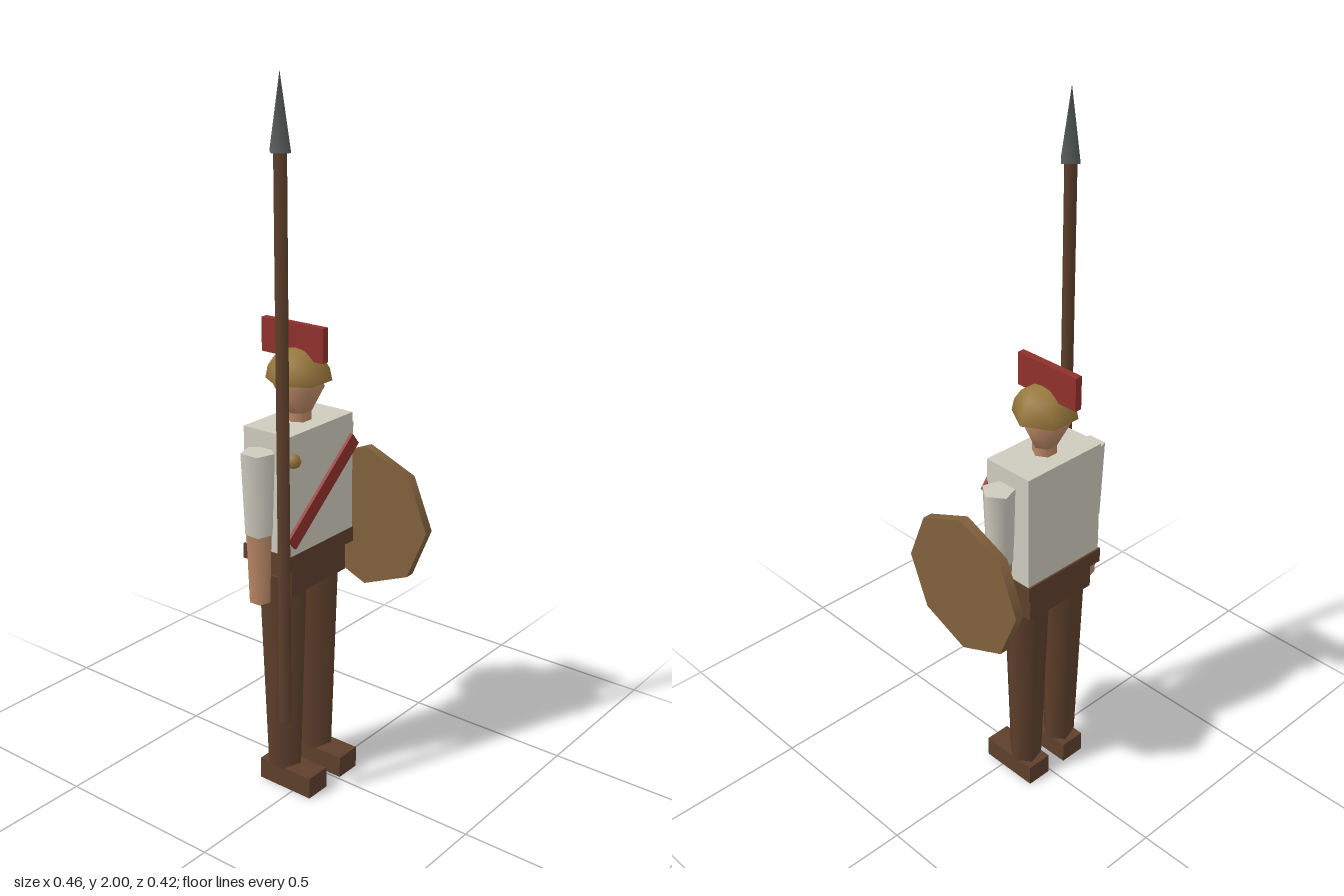
import * as THREE from 'three';

export function createModel() {
  const model = new THREE.Group();
  model.name = 'spearman';

  const material = (name, color) => {
    const m = new THREE.MeshStandardMaterial({ color });
    m.name = name;
    return m;
  };
  const cloth = material('linen', 0xcecabe);
  const leather = material('brown leather', 0x5e3f2b);
  const wood = material('shield wood', 0x80603c);
  const skin = material('skin', 0xb98765);
  const gold = material('brass', 0x96763c);
  const red = material('red cloth', 0x90302c);
  const steel = material('dark steel', 0x585c5a);
  gold.side = THREE.DoubleSide; // the helmet is an open shell

  const CX = -0.0235, CZ = -0.0575; // body axis

  const add = (name, geometry, mat, x, y, z) => {
    const mesh = new THREE.Mesh(geometry, mat);
    mesh.name = name;
    mesh.position.set(x, y, z);
    model.add(mesh);
    return mesh;
  };
  const box = (name, mat, w, h, d, x, y, z) =>
    add(name, new THREE.BoxGeometry(w, h, d), mat, x, y, z);
  // Tapered limb between two heights, with one corner pointing to +x
  const limb = (name, mat, rTop, rBottom, y0, y1, x, z, sides = 5) =>
    add(name, new THREE.CylinderGeometry(rTop, rBottom, y1 - y0, sides).rotateY(Math.PI / 2),
      mat, x, (y0 + y1) / 2, z);

  // Trunk
  box('torso', cloth, 0.27, 0.34, 0.156, CX, 0.91, CZ);
  box('belt', leather, 0.278, 0.043, 0.163, CX, 0.721, CZ - 0.002);
  box('hips', leather, 0.236, 0.085, 0.136, CX, 0.66, CZ);

  // Arms and legs
  for (const [side, s] of [['left', 1], ['right', -1]]) {
    const armX = CX + s * 0.1685, legX = CX + s * 0.07;
    limb(side + 'Sleeve', cloth, 0.047, 0.038, 0.803, 1.033, armX, CZ);
    limb(side + 'Forearm', skin, 0.035, 0.029, 0.605, 0.803, armX, CZ);
    limb(side + 'Leg', leather, 0.068, 0.048, 0.058, 0.665, legX, CZ);
    box(side + 'Shoe', leather, 0.077, 0.063, 0.18, legX, 0.0315, -0.028);
  }

  // Head, helmet and crest
  limb('neck', skin, 0.034, 0.034, 1.075, 1.115, CX, CZ, 6);
  const headProfile = [[0, 1.1], [0.034, 1.104], [0.07, 1.175], [0.045, 1.23], [0, 1.245]]
    .map(([r, y]) => new THREE.Vector2(r, y));
  add('head', new THREE.LatheGeometry(headProfile, 6).rotateY(Math.PI / 2), skin, CX, 0, CZ);
  add('helmet', new THREE.SphereGeometry(0.09, 6, 4, 0, Math.PI * 2, 0, Math.PI / 2),
    gold, CX, 1.191, CZ);
  box('crest', red, 0.021, 0.094, 0.208, CX, 1.297, -0.072);

  // Sash and brooch
  const sash = box('sash', red, 0.353, 0.043, 0.012, -0.022, 0.893, 0.024);
  sash.rotation.z = THREE.MathUtils.degToRad(39.5);
  add('brooch', new THREE.SphereGeometry(0.021, 6, 4), gold, -0.143, 1.011, 0.022);

  // Spear
  limb('spearShaft', leather, 0.0175, 0.0175, 0.27, 1.815, -0.191, 0.027);
  add('spearTip', new THREE.ConeGeometry(0.034, 0.19, 4), steel, -0.191, 1.905, 0.027);

  // Octagonal shield, facing sideways
  add('shield', new THREE.CylinderGeometry(0.21, 0.21, 0.028, 8).rotateZ(-Math.PI / 2),
    wood, 0.215, 0.74, 0);

  return model;
}
